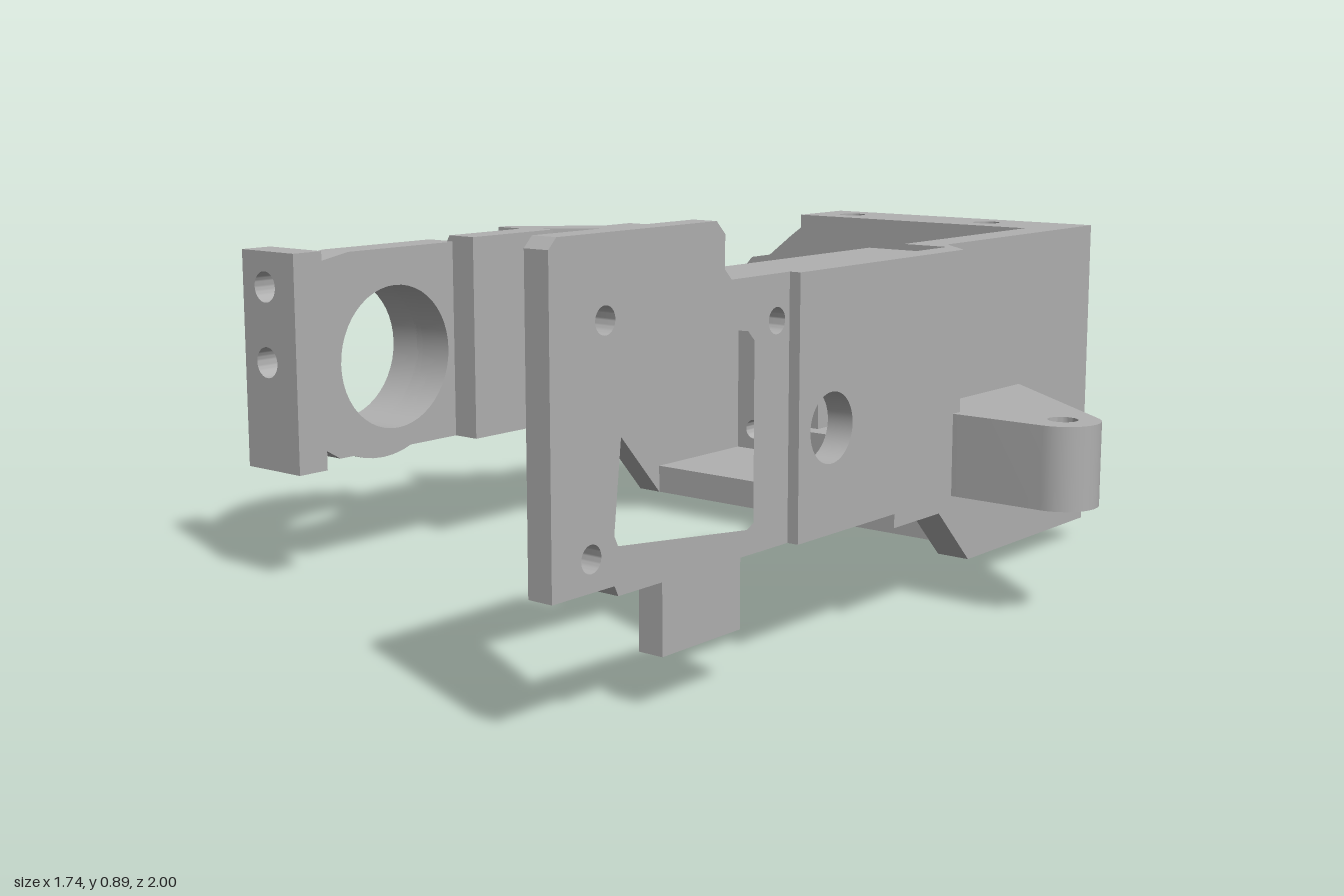
import * as THREE from 'three';
import { toCreasedNormals } from 'three/addons/utils/BufferGeometryUtils.js';

const grey = new THREE.MeshStandardMaterial({ color: 0xb0b0b0 });
grey.name = 'plain grey';

// Outline with optional holes; a hole is [x, y, radius] or a list of points
function outline(points, holes = [], flip = [1, 1]) {
  const map = (list) => list.map(([a, b]) => new THREE.Vector2(a * flip[0], b * flip[1]));
  const shape = new THREE.Shape(map(points));
  for (const h of holes) {
    const path = new THREE.Path();
    if (Array.isArray(h[0])) path.setFromPoints(map(h));
    else path.absarc(h[0] * flip[0], h[1] * flip[1], h[2], 0, Math.PI * 2);
    shape.holes.push(path);
  }
  return shape;
}

const rect = (a0, b0, a1, b1) => [[a0, b0], [a1, b0], [a1, b1], [a0, b1]];

function circle(a, b, r, from = 0, to = Math.PI * 2, n = 48) {
  return Array.from({ length: n }, (_, i) => {
    const t = from + ((to - from) * i) / (to - from > 6 ? n : n - 1);
    return [a + r * Math.cos(t), b + r * Math.sin(t)];
  });
}

export function createModel() {
  const group = new THREE.Group();

  // Extrude an outline along x (points z,y), y (points x,z) or z (points x,y)
  function part(name, axis, from, to, points, holes, adjust) {
    const flip = axis === 'x' ? [-1, 1] : axis === 'y' ? [1, -1] : [1, 1];
    const geo = new THREE.ExtrudeGeometry(outline(points, holes, flip), {
      depth: to - from, bevelEnabled: false, curveSegments: 24,
    });
    geo.translate(0, 0, from);
    if (axis === 'x') geo.rotateY(Math.PI / 2);
    if (axis === 'y') geo.rotateX(-Math.PI / 2);
    if (adjust) {
      const p = geo.attributes.position;
      const v = new THREE.Vector3();
      for (let i = 0; i < p.count; i++) {
        adjust(v.fromBufferAttribute(p, i));
        p.setXYZ(i, v.x, v.y, v.z);
      }
    }
    const mesh = new THREE.Mesh(toCreasedNormals(geo, 0.45), grey);
    mesh.name = name;
    group.add(mesh);
  }

  // Rear wall in two layers; its left corner is cut by a slanted face
  const wall = [[-0.59, 0.05], [0.48, 0.05], [0.48, 0.64], [-0.26, 0.64], [-0.26, 0.78],
    [-0.35, 0.715], [-0.42, 0.66], [-0.48, 0.65], [-0.525, 0.6], [-0.59, 0.56]];
  const screws = [[0.02, 0.59, 0.026], [0.02, 0.175, 0.026], [-0.47, 0.175, 0.026]];
  const slant = (v) => {
    const t = (-0.9 - v.z) / 0.1;
    if (v.x < -0.45 && v.y > 0.5) v.y -= t * (v.x < -0.5 ? 0.14 : 0.09);
    if (v.x < -0.55) v.x += 0.05 * t;
  };
  part('rearWallOuter', 'z', -1, -0.95, wall, [rect(-0.29, 0.19, -0.03, 0.57), ...screws], slant);
  part('rearWallInner', 'z', -0.95, -0.9, wall, [rect(-0.42, 0.19, -0.03, 0.57), ...screws], slant);
  part('rearDisc', 'z', -0.9, -0.895, circle(0.19, 0.38, 0.073));

  // Top ledge, floor and foot
  part('topLedge', 'y', 0.64, 0.78, rect(-0.26, -1, 0.48, -0.82),
    [[-0.16, -0.91, 0.033], [0.24, -0.91, 0.033]]);
  part('floor', 'y', 0.05, 0.12, rect(-0.53, -0.9, 0.41, -0.56));
  part('foot', 'y', 0, 0.05, circle(0.19, -0.92, 0.08), [[0.19, -0.92, 0.035]]);

  // Right side: rear wall section, joggled middle section and front plate
  part('sideWallLeft', 'x', 0.4, 0.48,
    [[-0.9, 0.05], [-0.46, 0.05], [-0.29, 0.22], [-0.29, 0.78], [-0.82, 0.78], [-0.82, 0.64], [-0.9, 0.64]]);
  part('sideJog', 'y', 0.22, 0.78,
    [[0.47, -0.34], [0.48, -0.34], [0.57, -0.26], [0.51, -0.26], [0.51, -0.29], [0.47, -0.29]]);
  part('middlePanel', 'x', 0.51, 0.57,
    [[-0.26, 0.22], [-0.01, 0.22], [-0.01, 0.25], [0.33, 0.25], [0.33, 0.78], [-0.26, 0.78]],
    [[0.22, 0.465, 0.072]]);
  part('innerLip', 'y', 0.72, 0.78, rect(0.39, -0.17, 0.515, 0.47));
  part('frontPlate', 'x', 0.49, 0.545,
    [[0.32, 0.25], [0.48, 0.25], [0.48, 0.11], [0.71, 0.11], [0.71, 0.25], [0.83, 0.25],
      [0.84, 0.27], [1, 0.27], [1, 0.87], [0.98, 0.89], [0.555, 0.89], [0.53, 0.865],
      [0.53, 0.8], [0.51, 0.78], [0.32, 0.78]],
    [[[0.8, 0.72], [0.46, 0.68], [0.44, 0.66], [0.44, 0.31], [0.46, 0.3], [0.83, 0.34], [0.84, 0.36]],
      [0.86, 0.74, 0.026], [0.9, 0.33, 0.026], [0.37, 0.69, 0.026]]);
  part('earLeft', 'y', 0.25, 0.43,
    [[0.47, -0.67], [0.48, -0.67], ...circle(0.785, -0.315, 0.083, -0.87, Math.PI / 2, 20),
      [0.56, -0.232], [0.47, -0.34]], [[0.785, -0.32, 0.032]]);

  // Left side: wall with rising top edge, angled arm and stepped block
  part('sideWallRight', 'x', -0.59, -0.525,
    [[-0.9, 0.05], [-0.56, 0.05], [-0.38, 0.25], [-0.38, 0.76], [-0.52, 0.76], [-0.55, 0.69],
      [-0.74, 0.65], [-0.9, 0.56]]);
  part('angledArm', 'y', 0.26, 0.76,
    [[-0.59, -0.42], [-0.525, -0.42], [-0.525, -0.36], [-0.68, -0.22], [-0.77, -0.22], [-0.77, -0.25]]);
  part('armBlock', 'z', -0.25, 0.03,
    [[-0.77, 0.27], [-0.61, 0.27], [-0.61, 0.76], [-0.69, 0.76], [-0.77, 0.62]]);
  part('earRight', 'y', 0.25, 0.43,
    [[-0.56, -0.62], [-0.59, -0.6], [-0.705, -0.49],
      ...circle(-0.625, -0.415, 0.085, Math.PI * 1.1, Math.PI * 0.4, 20), [-0.56, -0.36]],
    [[-0.625, -0.41, 0.032]]);

  // Ring mount and end block
  part('ringPlate', 'x', -0.77, -0.68,
    [[0.02, 0.27], [0.4, 0.27], [0.5, 0.33], [0.5, 0.72], [0.36, 0.745], [0.02, 0.745]],
    [[0.22, 0.487, 0.17]]);
  part('ringFlange', 'x', -0.79, -0.74, circle(0.215, 0.487, 0.25), [[0.22, 0.487, 0.17]]);
  part('ring', 'x', -0.875, -0.785, circle(0.22, 0.487, 0.23), [[0.22, 0.487, 0.17]]);
  part('endBlock', 'z', 0.49, 0.57, rect(-0.795, 0.265, -0.62, 0.76),
    [[-0.72, 0.68, 0.035], [-0.72, 0.51, 0.035]]);

  return group;
}
